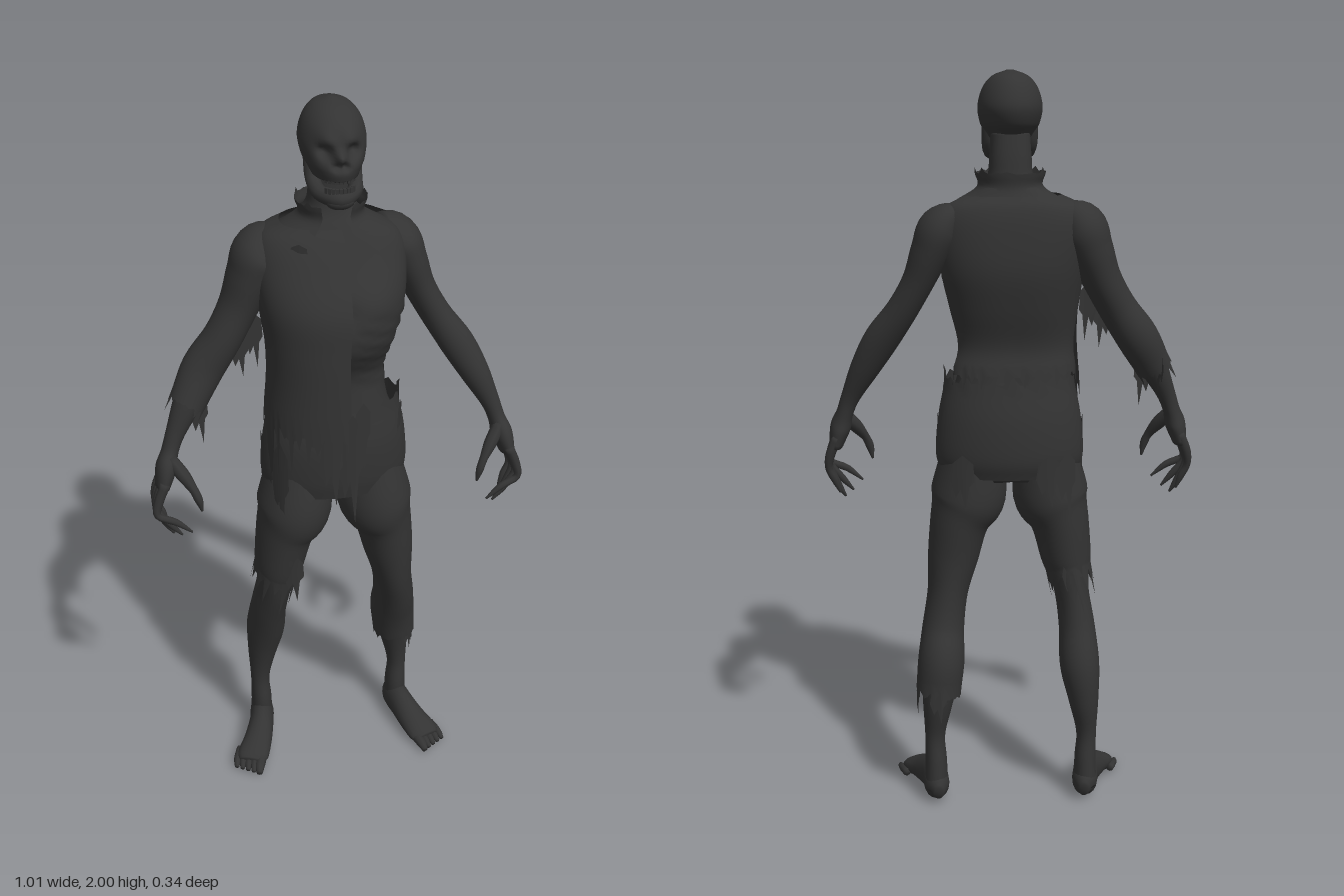
import * as THREE from 'three';

const charcoal = new THREE.MeshStandardMaterial({ color: 0x333333, side: THREE.DoubleSide });
charcoal.name = 'charcoal';

let seed = 7;
const rnd = () => (seed = (seed * 16807) % 2147483647) / 2147483647;

function add(group, name, geometry) {
  const mesh = new THREE.Mesh(geometry, charcoal);
  mesh.name = name;
  group.add(mesh);
  return mesh;
}

// Skin elliptical sections [x, y, z, rx, rz], listed from top to bottom.
// flat: level rings; p: squareness; arc: part of a turn in degrees; hem / topHem / edge: ragged borders.
function loft(secs, { n = 24, sub = 5, flat = false, p = 2, arc = null, hem = 0, topHem = 0, edge = 0, cap = true, warp = null } = {}) {
  const centre = new THREE.CatmullRomCurve3(secs.map(s => new THREE.Vector3(s[0], s[1], s[2])), false, 'catmullrom');
  const radii = new THREE.CatmullRomCurve3(secs.map(s => new THREE.Vector3(s[3], s[4], 0)), false, 'catmullrom');
  const rows = (secs.length - 1) * sub, cols = arc ? n + 1 : n;
  const [a0, a1] = arc || [0, 360];
  const pos = [], idx = [];
  const pw = v => Math.sign(v) * Math.pow(Math.abs(v), 2 / p);
  for (let i = 0; i <= rows; i++) {
    const c = centre.getPoint(i / rows), r = radii.getPoint(i / rows);
    const T = flat ? new THREE.Vector3(0, -1, 0) : centre.getTangent(i / rows);
    const A = new THREE.Vector3(1, 0, 0).addScaledVector(T, -T.x).normalize();
    const B = new THREE.Vector3().crossVectors(T, A);
    const ragged = edge * rnd();
    for (let j = 0; j < cols; j++) {
      const a = THREE.MathUtils.degToRad(a0 + (a1 - a0) * j / n - (j === 0 ? ragged : 0));
      const v = c.clone().addScaledVector(A, r.x * pw(Math.cos(a))).addScaledVector(B, r.y * pw(Math.sin(a)));
      if (warp) warp(v);
      const tooth = (j % 3 === 0 ? 1 : 0.25) * rnd();
      if (i === rows && hem) v.addScaledVector(T, hem * tooth);
      if (i === 0 && topHem) v.addScaledVector(T, -topHem * tooth);
      pos.push(v.x, v.y, v.z);
    }
  }
  for (let i = 0; i < rows; i++) for (let j = 0; j < n; j++) {
    const k = (j + 1) % cols, a = i * cols + j, b = i * cols + k, c = a + cols, d = b + cols;
    idx.push(a, b, c, b, d, c);
  }
  if (cap && !arc) for (const [row, s, down] of [[0, secs[0], false], [rows, secs[secs.length - 1], true]]) {
    const m = pos.length / 3;
    pos.push(s[0], s[1], s[2]);
    for (let j = 0; j < n; j++) {
      const a = row * cols + j, b = row * cols + (j + 1) % n;
      idx.push(...(down ? [a, b, m] : [b, a, m]));
    }
  }
  const g = new THREE.BufferGeometry();
  g.setAttribute('position', new THREE.Float32BufferAttribute(pos, 3));
  g.setIndex(idx);
  g.computeVertexNormals();
  return g;
}

const side = (secs, s) => secs.map(([x, ...rest]) => [x * s, ...rest]);
const grow = (secs, k) => secs.map(([x, y, z, a, b]) => [x, y, z, a + k, b + k]);
const bump = (x, y, x0, y0, r) => Math.exp(-((x - x0) ** 2 + (y - y0) ** 2) / (r * r));

// Loose hanging rag, curved round the body
function rag(group, x, y, z, w, l, turn) {
  const pts = [[0, .12], [-.4, -.05], [-.5, -.4], [-.28, -.72], [-.08, -.55], [.12, -1], [.25, -.5], [.45, -.4], [.4, -.05]];
  const geometry = new THREE.ShapeGeometry(new THREE.Shape(pts.map(([u, v]) => new THREE.Vector2(u * w, v * l))));
  const p = geometry.attributes.position;
  for (let i = 0; i < p.count; i++) p.setZ(i, -6 * p.getX(i) ** 2);
  geometry.computeVertexNormals();
  const mesh = add(group, 'rag', geometry);
  mesh.position.set(x, y, z);
  mesh.rotation.y = THREE.MathUtils.degToRad(turn);
}

const LEG = [
  [.098, 1.02, -.015, .08, .1], [.112, .88, -.005, .095, .112], [.138, .8, -.008, .073, .098],
  [.156, .7, -.01, .062, .086], [.172, .6, -.02, .048, .077], [.186, .5, -.045, .05, .068],
  [.192, .4, -.08, .055, .068], [.203, .3, -.092, .042, .052], [.212, .2, -.09, .028, .033],
  [.21, .12, -.09, .03, .04], [.21, .04, -.095, .032, .042]];
const ARM = [
  [.125, 1.645, -.07, .03, .05], [.178, 1.61, -.078, .056, .078], [.206, 1.55, -.075, .052, .074],
  [.24, 1.47, -.068, .042, .058], [.285, 1.39, -.055, .041, .048], [.34, 1.31, -.03, .046, .045],
  [.386, 1.23, -.005, .039, .04], [.426, 1.15, .015, .026, .028], [.445, 1.1, .025, .023, .03],
  [.458, 1.06, .037, .028, .046], [.472, 1.01, .045, .02, .05]];
const FOOT = [
  [.203, .04, -.138, .014, .02], [.208, .05, -.105, .034, .046], [.218, .056, -.045, .036, .052],
  [.24, .042, .02, .042, .039], [.262, .028, .068, .046, .026], [.27, .02, .09, .036, .016]];

function buildHead(g) {
  // Skull with hollow eyes and nose
  add(g, 'skull', loft([
    [0, 2, -.045, .008, .01], [0, 1.985, -.043, .046, .062], [0, 1.955, -.038, .071, .094],
    [0, 1.91, -.035, .083, .112], [0, 1.87, -.022, .077, .112], [0, 1.85, -.01, .067, .102], [0, 1.832, 0, .058, .088]
  ], {
    n: 56, sub: 6, flat: true, warp: v => {
      if (v.z < 0) return;
      const x = Math.abs(v.x);
      v.z += .01 * bump(x, v.y, .03, 1.928, .02) + .02 * bump(x, v.y, 0, 1.892, .012)
        - .03 * bump(x, v.y, .034, 1.9, .016) - .018 * bump(x, v.y, .01, 1.868, .009);
    }
  }));
  // Lower jaw, hanging open, with its chin
  const jaw = new THREE.CatmullRomCurve3([[-.054, 1.87, -.03], [-.052, 1.81, -.008], [-.042, 1.79, .04], [0, 1.786, .08],
    [.042, 1.79, .04], [.052, 1.81, -.008], [.054, 1.87, -.03]].map(q => new THREE.Vector3(...q)));
  add(g, 'jaw', new THREE.TubeGeometry(jaw, 40, .019, 10));
  const chin = add(g, 'chin', new THREE.SphereGeometry(1, 16, 10));
  chin.position.set(0, 1.778, .07);
  chin.scale.set(.036, .02, .026);
  // Teeth
  for (let i = -4; i <= 4; i++) {
    const a = i * .2;
    for (const [y, h] of [[1.836, .018], [1.807, .014]]) {
      const t = add(g, 'tooth', new THREE.BoxGeometry(.008, h, .008));
      t.position.set(Math.sin(a) * .045, y, .03 + Math.cos(a) * .054);
      t.rotation.y = a;
    }
  }
}

function buildLimbs(g, s, arm) {
  const word = s > 0 ? 'left' : 'right';
  add(g, word + 'Leg', loft(side(LEG, s)));
  add(g, word + 'Foot', loft(side(FOOT, s), { n: 18 }));
  for (let i = 0; i < 5; i++) {
    const x = .248 + i * .0155, z = .118 - i * .01, r = i ? .011 : .015;
    add(g, word + 'Toe', loft(side([[x - .014, .022, z - .05, r, r], [x, .019, z - .01, r, r], [x + .006, .013, z + .018, r * .6, r * .6]], s), { n: 8, sub: 3 }));
  }
  add(g, word + 'Arm', loft(side(arm, s)));
  // Curled fingers: depth at the knuckle, tip x, tip y
  for (const [z, tx, ty] of [[.006, .463, .875], [.033, .45, .856], [.06, .43, .866], [.084, .405, .888]]) {
    add(g, word + 'Finger', loft(side([[.466, 1.035, z, .014, .014], [.487, .985, z + .004, .013, .013],
      [.492, .945, z + .01, .01, .011], [(tx + .49) / 2, ty + .035, z + .015, .01, .01],
      [tx, ty, z + .018, .003, .003]], s), { n: 8, sub: 4 }));
  }
  add(g, word + 'Thumb', loft(side([[.447, 1.085, .045, .018, .022], [.418, 1.05, .072, .018, .019], [.395, 1.015, .092, .012, .013],
    [.383, .985, .1, .011, .011], [.376, .95, .1, .003, .003]], s), { n: 8, sub: 4 }));
}

function buildClothes(g, rightArm) {
  // Trousers
  add(g, 'trouserSeat', loft([[0, 1.2, -.01, .172, .112], [0, 1.1, -.012, .192, .13], [0, 1, -.015, .2, .13], [0, .945, -.012, .188, .118]],
    { n: 48, flat: true, topHem: .03, cap: false }));
  add(g, 'leftTrouserLeg', loft([LEG[0], ...grow(LEG.slice(1, 6), .008), [.192, .42, -.078, .064, .08], [.2, .34, -.09, .062, .072]],
    { n: 42, hem: .08, cap: false }));
  add(g, 'rightTrouserLeg', loft(side([LEG[0], ...grow(LEG.slice(1, 4), .008), [.164, .66, -.014, .062, .088]], -1),
    { n: 42, hem: .12, cap: false }));
  // Torn jacket: back, hanging right front, sleeve, collar
  add(g, 'jacketBack', loft([[0, 1.69, -.05, .13, .085], [0, 1.66, -.05, .185, .105], [0, 1.6, -.042, .203, .125], [0, 1.5, -.012, .196, .158],
    [-.005, 1.4, 0, .178, .148], [-.01, 1.3, -.008, .16, .112], [-.005, 1.23, -.01, .172, .122]],
  { n: 48, flat: true, p: 2.5, arc: [172, 335], hem: .05 }));
  add(g, 'jacketFront', loft([[0, 1.69, -.05, .13, .085], [0, 1.66, -.05, .185, .108], [0, 1.6, -.04, .203, .135], [0, 1.5, -.012, .196, .16],
    [-.005, 1.4, 0, .178, .158], [-.005, 1.3, 0, .175, .162], [-.005, 1.18, 0, .185, .165]],
  { n: 36, flat: true, p: 2.2, arc: [86, 182], hem: .16, edge: .22 }));
  const cuff = [rightArm[0], ...grow(rightArm.slice(1, 7), .01)];
  add(g, 'sleeve', loft(side(cuff, -1), { n: 36, hem: .06, cap: false }));
  add(g, 'collar', loft([[0, 1.745, -.045, .092, .084], [0, 1.71, -.045, .086, .08], [0, 1.675, -.045, .14, .095]],
    { n: 40, flat: true, topHem: .018, arc: [115, 425] }));
  // Rags: x, y, z, width, length, turn
  [[.015, 1.2, .166, .07, .3, 0], [.045, 1.24, .155, .05, .18, 12], [-.035, 1.18, .163, .07, .22, -5],
    [-.185, 1.15, .03, .07, .28, -80], [-.165, 1.1, .09, .06, .28, -50], [-.196, 1.08, -.03, .07, .2, -92],
    [-.212, .84, 0, .07, .2, -85], [-.19, .8, .06, .06, .18, -45], [-.13, .74, .085, .06, .14, -10], [-.17, .72, -.1, .06, .14, 190],
    [.176, 1.22, 0, .06, .12, 85], [.195, 1.09, -.03, .06, .16, 90], [.172, 1.18, .04, .05, .14, 65],
    [.13, 1.0, -.132, .07, .14, 165], [-.1, 1.0, -.138, .07, .13, 185], [-.15, 1.0, -.12, .06, .16, 205],
    [.257, .38, -.08, .05, .12, 85], [.235, .37, -.035, .05, .1, 45], [.2, .36, -.16, .05, .1, 180],
    [-.205, 1.44, -.02, .05, .14, 10], [-.245, 1.4, -.01, .05, .12, 10], [-.36, 1.25, .02, .05, .14, 10], [-.4, 1.26, -.04, .04, .1, -60],
    [-.1, 1.66, .055, .05, .06, -25]].forEach(r => rag(g, ...r));
}

export function createModel() {
  const model = new THREE.Group();
  model.name = 'raggedFigure';
  const head = new THREE.Group();
  head.name = 'head';
  model.add(head);
  buildHead(head);

  // Bare body with pectorals, ribs and spine groove
  add(model, 'torso', loft([
    [0, 1.85, -.05, .05, .05], [0, 1.79, -.055, .054, .055], [0, 1.73, -.055, .062, .062], [0, 1.69, -.052, .105, .078],
    [0, 1.655, -.05, .168, .095], [0, 1.6, -.04, .19, .115], [0, 1.5, -.012, .183, .142], [-.005, 1.4, 0, .163, .136],
    [-.01, 1.3, -.01, .142, .1], [-.01, 1.2, -.01, .152, .104], [0, 1.1, -.015, .18, .12], [0, 1, -.015, .185, .118], [0, .93, -.01, .13, .09]
  ], {
    n: 56, sub: 6, flat: true, p: 2.3, warp: v => {
      if (v.z > 0) {
        v.z += .012 * bump(Math.abs(v.x), v.y, .085, 1.53, .06) - .014 * bump(v.x, v.y, 0, 1.5, .03);
        if (v.y > 1.25 && v.y < 1.47 && Math.abs(v.x) > .03) {
          const k = 1 + .02 * Math.sin((v.y + v.x * .3) * 150);
          v.x *= k;
          v.z *= k;
        }
      } else if (v.y < 1.65) v.z += .01 * Math.exp(-((v.x / .025) ** 2));
    }
  }));

  // The right shoulder sits a little further forward
  const rightArm = ARM.map(([x, y, z, a, b], i) => [x, y, z + (i < 5 ? .02 : 0), a, b]);
  buildLimbs(model, 1, ARM);
  buildLimbs(model, -1, rightArm);
  const clothes = new THREE.Group();
  clothes.name = 'clothes';
  model.add(clothes);
  buildClothes(clothes, rightArm);
  return model;
}
